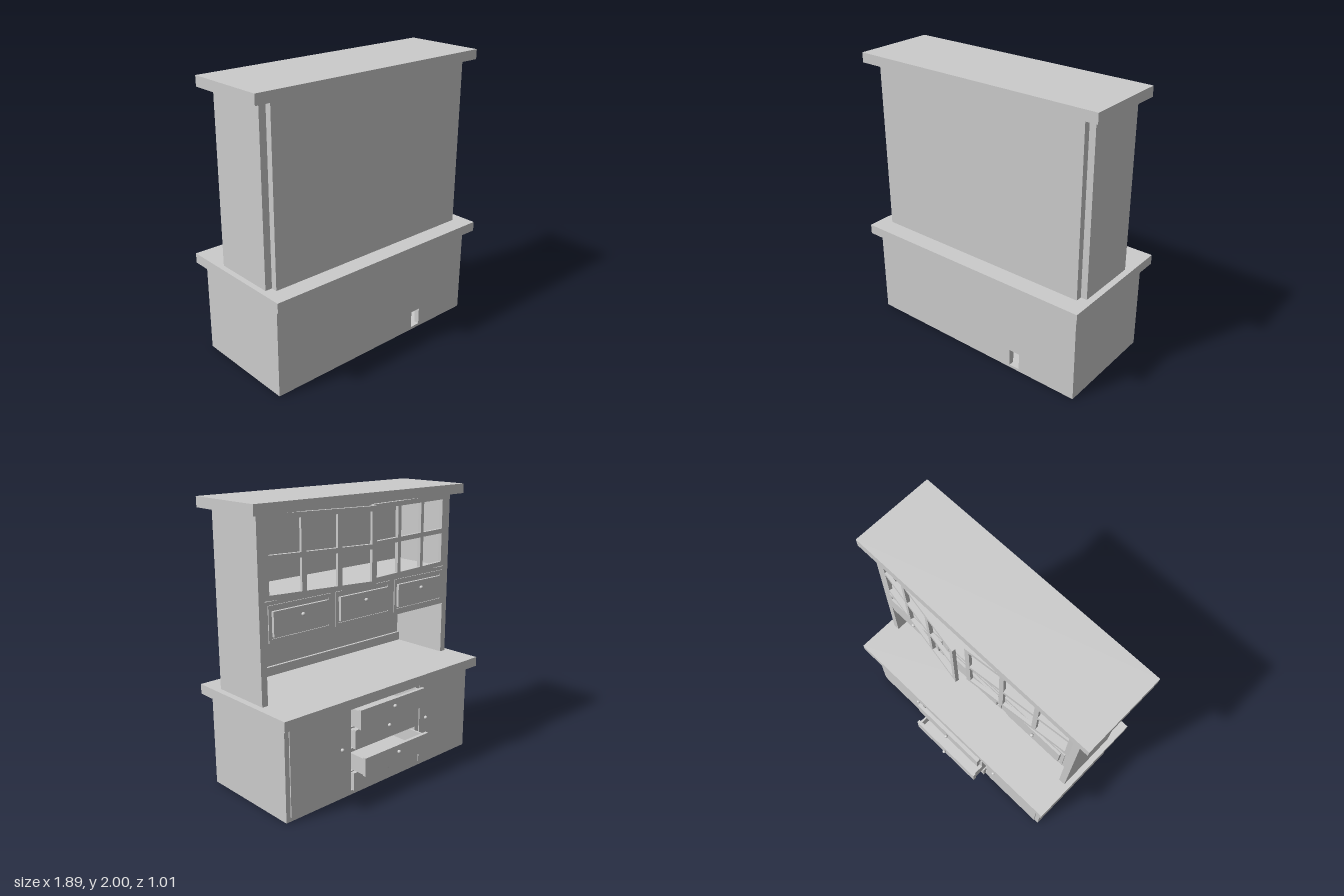
import * as THREE from 'three';

const mat = new THREE.MeshStandardMaterial({ color: 0xcccccc });

// Box given by its extents on each axis
function box(parent, name, x0, x1, y0, y1, z0, z1) {
  const m = new THREE.Mesh(new THREE.BoxGeometry(x1 - x0, y1 - y0, z1 - z0), mat);
  m.position.set((x0 + x1) / 2, (y0 + y1) / 2, (z0 + z1) / 2);
  m.name = name;
  parent.add(m);
  return m;
}

function rectPoints([x0, x1, y0, y1]) {
  return [[x0, y0], [x1, y0], [x1, y1], [x0, y1]].map(p => new THREE.Vector2(...p));
}

// Flat board with rectangular openings
function pierced(parent, name, outer, holes, z0, z1) {
  const shape = new THREE.Shape(rectPoints(outer));
  for (const h of holes) shape.holes.push(new THREE.Path(rectPoints(h).reverse()));
  const m = new THREE.Mesh(new THREE.ExtrudeGeometry(shape, { depth: z1 - z0, bevelEnabled: false }), mat);
  m.position.z = z0;
  m.name = name;
  parent.add(m);
  return m;
}

// Round knob on a short stem, pointing to -z
function knob(parent, x, y, z) {
  const g = new THREE.Group();
  g.name = 'knob';
  const stem = new THREE.Mesh(new THREE.CylinderGeometry(0.006, 0.006, 0.012, 10), mat);
  stem.rotation.x = Math.PI / 2;
  stem.position.z = -0.004;
  const ball = new THREE.Mesh(new THREE.SphereGeometry(0.013, 14, 10), mat);
  ball.position.z = -0.013;
  g.add(stem, ball);
  g.position.set(x, y, z);
  parent.add(g);
}

// Open-topped drawer whose front face lies at z = front
function drawer(parent, x0, x1, y0, y1, front, depth) {
  const g = new THREE.Group();
  g.name = 'baseDrawer';
  const t = 0.015, top = y1 - 0.015, zi = front + 0.025, zb = front + depth;
  box(g, 'drawerFront', x0, x1, y0, y1, front, zi);
  box(g, 'drawerBottom', x0 + t, x1 - t, y0, y0 + t, zi, zb);
  box(g, 'drawerSide', x0 + 0.01, x0 + 0.01 + t, y0, top, zi, zb);
  box(g, 'drawerSide', x1 - 0.01 - t, x1 - 0.01, y0, top, zi, zb);
  box(g, 'drawerBack', x0 + t, x1 - t, y0, top, zb - t, zb);
  knob(g, (x0 + x1) / 2, (y0 + y1) / 2 + 0.022, front);
  parent.add(g);
}

// Lattice door, three by two openings, swung about its hinge
function latticeDoor(parent, hingeX, dir, angle) {
  const L = 0.82, H = 0.525, bar = 0.033, holes = [];
  const w = (L - 4 * bar) / 3, h = (H - 3 * bar) / 2;
  for (let i = 0; i < 3; i++) {
    for (let j = 0; j < 2; j++) {
      const x = bar + i * (w + bar), y = bar + j * (h + bar);
      holes.push(dir > 0 ? [x, x + w, y, y + h] : [-x - w, -x, y, y + h]);
    }
  }
  const g = new THREE.Group();
  g.name = 'latticeDoor';
  pierced(g, 'doorLattice', dir > 0 ? [0, L, 0, H] : [-L, 0, 0, H], holes, 0, 0.025);
  g.position.set(hingeX, 1.4, -0.13);
  g.rotation.y = angle;
  parent.add(g);
}

function createBase() {
  const g = new THREE.Group();
  g.name = 'baseCabinet';
  const rows = [[0.5, 0.638, -0.435], [0.345, 0.482, -0.385], [0.18, 0.312, -0.48], [0.035, 0.165, -0.37]];
  const X0 = -0.87, X1 = 0.885;

  // Carcass with a small cable opening in the panel at +z
  box(g, 'baseSide', X0, X0 + 0.04, 0, 0.655, -0.315, 0.4);
  box(g, 'baseSide', X1 - 0.04, X1, 0, 0.655, -0.315, 0.4);
  box(g, 'baseFloor', X0 + 0.04, X1 - 0.04, 0, 0.02, -0.315, 0.4);
  pierced(g, 'baseBackPanel', [X0, X1, 0, 0.655], [[0.355, 0.435, 0.02, 0.145]], 0.4, 0.44);
  for (const x of [-0.335, 0.335]) box(g, 'partition', x, x + 0.02, 0.02, 0.655, -0.315, 0.3);

  // Face frame with drawer openings
  pierced(g, 'faceFrame', [X0, X1, 0, 0.655],
    rows.map(([a, b]) => [-0.305, 0.325, a - 0.005, b + 0.003]), -0.345, -0.315);
  for (const [a, b, z] of rows) drawer(g, -0.3, 0.32, a, b, z, 0.6);

  // Cupboard doors
  box(g, 'cupboardDoor', 0.365, 0.85, 0.03, 0.63, -0.353, -0.34);
  box(g, 'cupboardDoor', -0.835, -0.345, 0.03, 0.63, -0.353, -0.34);
  knob(g, 0.42, 0.365, -0.353);
  knob(g, -0.4, 0.365, -0.353);

  box(g, 'countertop', -0.91, 0.93, 0.655, 0.725, -0.41, 0.505);
  return g;
}

function createHutch() {
  const g = new THREE.Group();
  g.name = 'hutch';
  box(g, 'hutchSide', -0.87, -0.82, 0.725, 1.93, -0.13, 0.33);
  box(g, 'hutchSide', 0.84, 0.885, 0.725, 1.93, -0.13, 0.33);
  box(g, 'hutchBackPanel', -0.82, 0.84, 0.725, 1.925, 0.33, 0.375);
  box(g, 'backRail', -0.82, 0.84, 0.725, 0.79, 0.31, 0.33);

  // Drawer row between two boards
  box(g, 'drawerRowFloor', -0.82, 0.84, 1.11, 1.125, -0.13, 0.33);
  box(g, 'cabinetFloor', -0.82, 0.84, 1.38, 1.395, -0.13, 0.33);
  box(g, 'drawerRowFace', -0.82, 0.84, 1.125, 1.38, -0.13, -0.11);
  for (let i = -1; i <= 1; i++) {
    const x = 0.01 + i * 0.555, d = new THREE.Group();
    d.name = 'hutchDrawer';
    pierced(d, 'drawerSurround', [x - 0.255, x + 0.255, 1.13, 1.37],
      [[x - 0.235, x + 0.235, 1.155, 1.345]], -0.137, -0.13);
    box(d, 'drawerFront', x - 0.225, x + 0.225, 1.168, 1.332, -0.15, -0.125);
    knob(d, x, 1.28, -0.15);
    g.add(d);
  }

  // Doors standing ajar by different amounts
  latticeDoor(g, 0.84, -1, -0.18);
  latticeDoor(g, -0.82, 1, 0.103);

  box(g, 'topBoard', -0.95, 0.945, 1.93, 2, -0.19, 0.41);
  return g;
}

export function createModel() {
  const model = new THREE.Group();
  model.name = 'kitchenDresser';
  model.add(createBase(), createHutch());
  return model;
}
